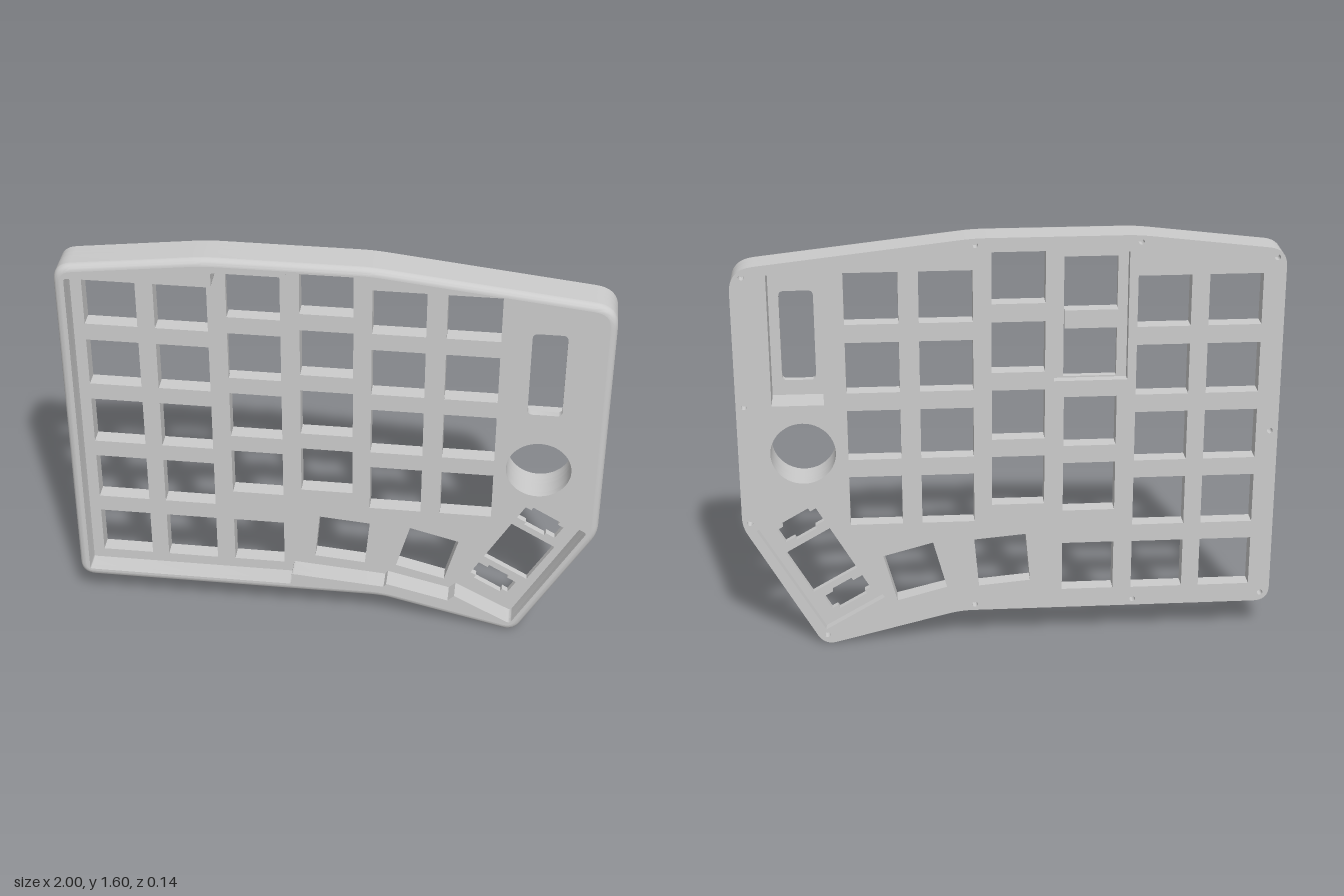
import * as THREE from 'three';
import { toCreasedNormals } from 'three/addons/utils/BufferGeometryUtils.js';

const BACK = -0.07, FLOOR = -0.035, PLATE = -0.01, FRONT = 0.07, FILLET = 0.025;
const material = new THREE.MeshStandardMaterial({ color: 0xcccccc });
const V = (x, y) => new THREE.Vector2(x, y);

// closed polygon from [x, y, corner size]; corners with a size are rounded
function rounded(corners, steps = 8) {
  const out = [], n = corners.length;
  corners.forEach(([x, y, t = 0], i) => {
    const p = V(x, y);
    if (!t) return out.push(p);
    const toward = (c) => V(c[0], c[1]).sub(p).setLength(t).add(p);
    const a = toward(corners[(i + n - 1) % n]), b = toward(corners[(i + 1) % n]);
    out.push(...new THREE.QuadraticBezierCurve(a, p, b).getPoints(steps));
  });
  return out;
}

// move a counter-clockwise polygon inwards by d
function inset(pts, d) {
  const n = pts.length;
  return pts.map((p, i) => {
    const e1 = p.clone().sub(pts[(i + n - 1) % n]).normalize();
    const e2 = pts[(i + 1) % n].clone().sub(p).normalize();
    const m = V(-e1.y - e2.y, e1.x + e2.x).normalize();
    return p.clone().addScaledVector(m, d / (m.x * -e1.y + m.y * e1.x));
  });
}

// place local points at a centre, turned by an angle in degrees
const place = (pts, x, y, deg = 0) =>
  pts.map((p) => p.clone().rotateAround(V(0, 0), THREE.MathUtils.degToRad(deg)).add(V(x, y)));
const rect = (w, h, r = 0) => rounded(
  [[-w / 2, -h / 2, r], [w / 2, -h / 2, r], [w / 2, h / 2, r], [-w / 2, h / 2, r]], 5);
const circle = (x, y, r, n) =>
  Array.from({ length: n }, (_, i) => V(x + r * Math.cos(i / n * 2 * Math.PI), y + r * Math.sin(i / n * 2 * Math.PI)));

// slab with openings between two depths
function slab(name, outline, holes, z0, z1) {
  const shape = new THREE.Shape(outline);
  shape.holes = holes.map((h) => new THREE.Path(h));
  const geo = new THREE.ExtrudeGeometry(shape, { depth: z1 - z0, bevelEnabled: false });
  geo.translate(0, 0, z0);
  const mesh = new THREE.Mesh(toCreasedNormals(geo, 0.5), material);
  mesh.name = name;
  return mesh;
}

// quarter-round edge following the outline
function filletStrip(outline) {
  const pos = [], index = [], n = outline.length, steps = 6;
  for (let k = 0; k <= steps; k++) {
    const a = k / steps * Math.PI / 2;
    for (const p of inset(outline, FILLET * (1 - Math.cos(a))))
      pos.push(p.x, p.y, FRONT - FILLET + FILLET * Math.sin(a));
  }
  for (let k = 0; k < steps; k++) for (let i = 0; i < n; i++) {
    const a = k * n + i, b = k * n + (i + 1) % n;
    index.push(a, b, b + n, a, b + n, a + n);
  }
  const geo = new THREE.BufferGeometry();
  geo.setAttribute('position', new THREE.Float32BufferAttribute(pos, 3));
  geo.setIndex(index);
  const mesh = new THREE.Mesh(toCreasedNormals(geo, 0.5), material);
  mesh.name = 'roundedFrontEdge';
  return mesh;
}

export function createModel() {
  const group = new THREE.Group();
  group.name = 'keyboardCase';

  const outline = rounded([
    [-1, 0.12, 0.06], [0.19, 0.12, 0.05], [0.712, -0.009, 0.05], [1, 0.5, 0.04],
    [1, 1.503, 0.085], [0.13, 1.6, 0.05], [-0.46, 1.6, 0.05], [-1, 1.535, 0.065],
  ]);

  // recess around the keys, stepped along the top and the bottom
  const recess = rounded([
    [-0.96, 0.155, 0.01], [-0.16, 0.155, 0.008], [-0.16, 0.205, 0.008], [0.2, 0.175], [0.21, 0.19],
    [0.45, 0.13], [0.475, 0.155], [0.695, 0.037, 0.015], [0.96, 0.51, 0.012], [0.635, 0.695, 0.06],
    [0.635, 1.52, 0.012], [0.105, 1.52, 0.01], [0.105, 1.568, 0.01], [-0.165, 1.568, 0.01],
    [-0.165, 1.55, 0.008], [-0.43, 1.55, 0.01], [-0.43, 1.49, 0.01], [-0.96, 1.49, 0.015],
  ], 4);

  // key openings: column x, top key y, key count
  const key = rect(0.195, 0.195), keys = [], pocketKeys = [];
  const columns = [[-0.82, 1.35, 5], [-0.56, 1.35, 5], [-0.295, 1.417, 4],
    [-0.03, 1.45, 4], [0.232, 1.385, 4], [0.5, 1.385, 4]];
  columns.forEach(([x, top, count], c) => {
    for (let r = 0; r < count; r++)
      (c === 2 && r < 2 ? pocketKeys : keys).push(place(key, x, top - r * 0.264));
  });
  keys.push(place(key, -0.295, 0.295), place(key, 0.03, 0.33, -5), place(key, 0.36, 0.292, -15));

  // wide thumb key: square opening with a notched opening on each side
  const TX = 0.713, TY = 0.335, TILT = -30;
  const notched = [[-0.085, -0.03], [-0.045, -0.03], [-0.045, -0.042], [0.045, -0.042], [0.045, -0.03],
    [0.085, -0.03], [0.085, 0.03], [0.06, 0.03], [0.06, 0.045], [-0.06, 0.045], [-0.06, 0.03], [-0.085, 0.03]];
  const thumb = [place(key, TX, TY, TILT)];
  for (const s of [-1, 1])
    thumb.push(place(notched.map(([x, y]) => V(x - 0.012, y * s + 0.165 * s)), TX, TY, TILT));
  const thumbPocket = place(rect(0.26, 0.49), TX, TY, TILT);

  // openings in the side panel, and the cavities on the back
  const knobHole = circle(0.763, 0.79, 0.12, 48);
  const windowSlot = place(rect(0.125, 0.345, 0.02), 0.77, 1.21);
  const windowPocket = place(rect(0.19, 0.5), 0.775, 1.23);
  const socketPocket = place(rect(0.27, 0.49), -0.295, 1.295);
  const screws = [[0.955, 1.475], [0.125, 1.575], [-0.47, 1.575], [-0.965, 1.505], [0.97, 0.98], [0.97, 0.515],
    [0.7, 0.035], [0.135, 0.145], [-0.47, 0.145], [-0.965, 0.155], [-0.97, 0.83]]
    .map(([x, y]) => circle(x, y, 0.011, 16));

  group.add(
    slab('backPlate', outline,
      [...keys, socketPocket, thumbPocket, windowPocket, knobHole, ...screws], BACK, FLOOR),
    slab('keyPlate', outline,
      [...keys, ...pocketKeys, ...thumb, windowPocket, knobHole], FLOOR, PLATE),
    slab('rim', outline, [recess, windowPocket, knobHole], PLATE, FRONT - FILLET),
    slab('frontPanel', inset(outline, FILLET), [recess, windowSlot, knobHole], FRONT - FILLET, FRONT),
    filletStrip(outline),
    slab('socketCrossbar', place(rect(0.195, 0.069), -0.295, 1.285), [], BACK + 0.008, FLOOR),
  );
  return group;
}
